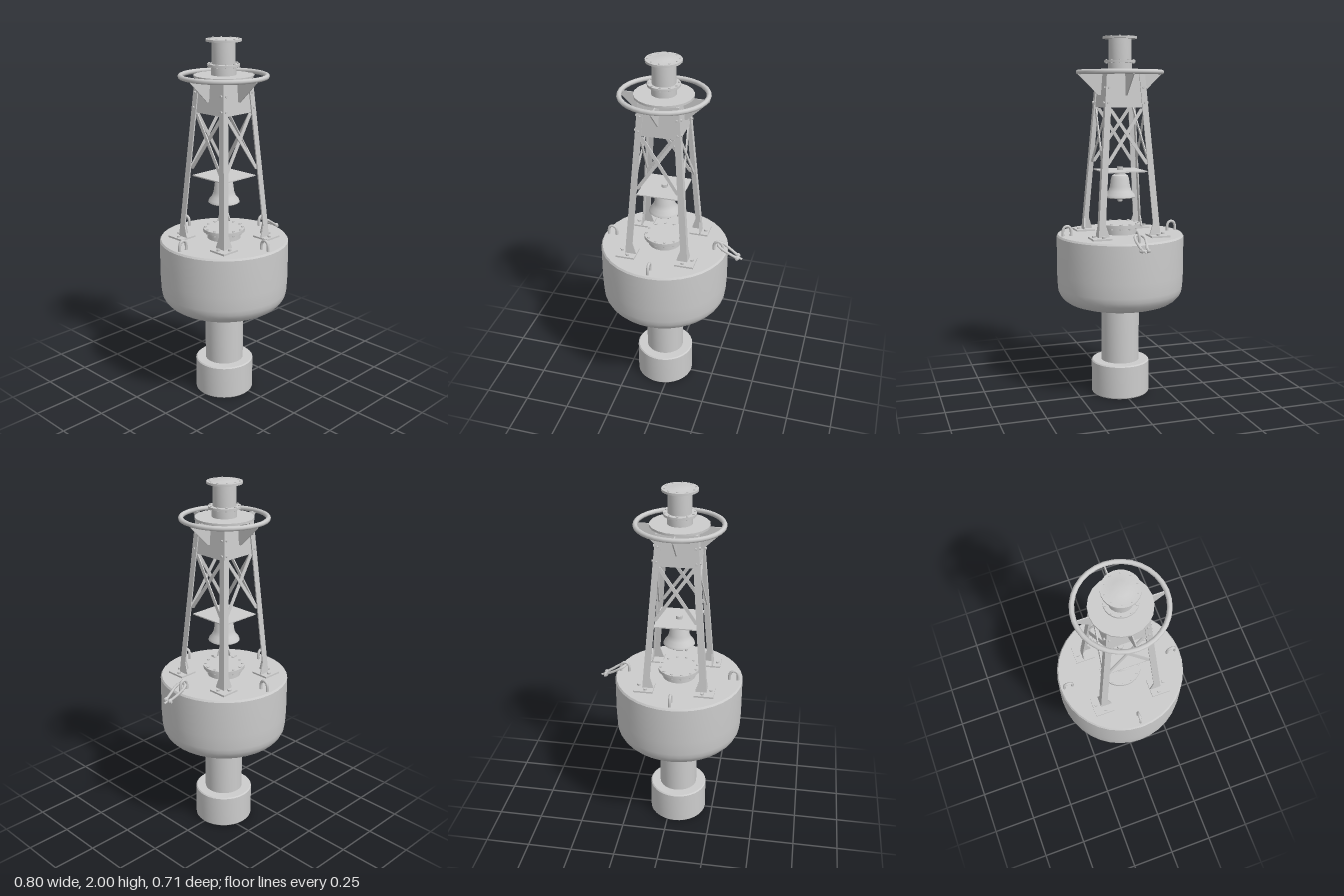
import * as THREE from 'three';
import { toCreasedNormals } from 'three/addons/utils/BufferGeometryUtils.js';

const metal = new THREE.MeshStandardMaterial({ color: 0xcccccc });
metal.name = 'paintedMetal';

function add(parent, name, geometry, x = 0, y = 0, z = 0) {
  const mesh = new THREE.Mesh(geometry, metal);
  mesh.name = name;
  mesh.position.set(x, y, z);
  parent.add(mesh);
  return mesh;
}

// Turned part from [radius, height] pairs, bottom to top
function turned(profile, segments = 32) {
  const pts = profile.map(([r, y]) => new THREE.Vector2(r, y));
  return toCreasedNormals(new THREE.LatheGeometry(pts, segments), 0.6);
}

// Flat plate cut from an outline, centred on z = 0
function plate(outline, depth) {
  const shape = new THREE.Shape(outline.map(([x, y]) => new THREE.Vector2(x, y)));
  const g = new THREE.ExtrudeGeometry(shape, { depth, bevelEnabled: false });
  return g.translate(0, 0, -depth / 2);
}

function tube(points, radius, segments = 16) {
  const path = new THREE.CatmullRomCurve3(points.map((p) => new THREE.Vector3(...p)));
  return new THREE.TubeGeometry(path, segments, radius, 8);
}

function boltCircle(parent, name, count, radius, y, size = 0.008, height = 0.01) {
  for (let i = 0; i < count; i++) {
    const a = ((i + 0.5) / count) * Math.PI * 2;
    add(parent, name, new THREE.CylinderGeometry(size, size, height, 6),
      Math.cos(a) * radius, y, Math.sin(a) * radius);
  }
}

// Half width of the tapering tower at a given height
const half = (y) => 0.176 - ((y - 0.92) * 0.069) / 0.88;

// Lean a flat outline onto the sloping tower face
function leaning(outline, depth, inset = 0) {
  const g = plate(outline, depth);
  const p = g.attributes.position;
  for (let i = 0; i < p.count; i++) p.setZ(i, p.getZ(i) + half(p.getY(i)) - depth / 2 - inset);
  g.computeVertexNormals();
  return g;
}

function towerFace() {
  const face = new THREE.Group();
  face.name = 'towerFace';
  for (const s of [-1, 1]) {
    // One flange of the corner angle iron, flared at the foot
    add(face, 'legFlange', leaning([
      [s * half(0.92), 0.92], [s * half(1.79), 1.79], [s * (half(1.79) - 0.032), 1.79],
      [s * (half(0.99) - 0.036), 0.99], [s * (half(0.93) - 0.06), 0.93], [s * (half(0.92) - 0.06), 0.92],
    ], 0.007));
    // Diagonal brace
    const a = [s * 0.113, 1.31], b = [-s * 0.092, 1.61];
    const w = 0.011;
    add(face, 'crossBrace', leaning([
      [a[0] - w, a[1]], [a[0] + w, a[1]], [b[0] + w, b[1]], [b[0] - w, b[1]],
    ], 0.006, s > 0 ? 0.007 : 0.013));
    // Bolts joining the panel to the legs
    for (const y of [1.64, 1.72]) {
      const bolt = add(face, 'panelBolt', new THREE.CylinderGeometry(0.007, 0.007, 0.016, 6),
        s * (half(y) - 0.016), y, half(y));
      bolt.rotation.x = Math.PI / 2;
    }
  }
  // Closed panel at the head of the tower
  add(face, 'headPanel', leaning([[-0.113, 1.615], [0.113, 1.615], [0.1, 1.8], [-0.1, 1.8]], 0.006, 0.007));
  // Triangular bracket under the guard ring
  const gusset = add(face, 'ringBracket',
    plate([[0.108, 1.68], [0.122, 1.68], [0.237, 1.79], [0.237, 1.8], [0.1, 1.8]], 0.006));
  gusset.rotation.y = -Math.PI / 2;
  return face;
}

export function createModel() {
  const model = new THREE.Group();
  model.name = 'bellBuoy';
  const body = new THREE.Group();
  body.name = 'buoyBody';
  body.position.x = -0.044;
  model.add(body);

  // Ballast, stem and lower mounting flange
  add(body, 'ballast', turned([[0, 0], [0.158, 0], [0.163, 0.006], [0.163, 0.184], [0.157, 0.19], [0, 0.19]]));
  add(body, 'stem', turned([[0.107, 0.185], [0.107, 0.52]]));
  add(body, 'lowerFlange', turned([[0.1, 0.507], [0.16, 0.507], [0.16, 0.522]]));
  boltCircle(body, 'lowerFlangeBolt', 10, 0.137, 0.504);

  // Rounded float
  const hull = [[0, 0.52], [0.235, 0.52]];
  for (let i = 1; i <= 6; i++) {
    const a = (i / 6) * Math.PI / 2;
    hull.push([0.235 + Math.sin(a) * 0.116, 0.62 - Math.cos(a) * 0.1]);
  }
  hull.push([0.355, 0.7], [0.355, 0.905], [0.348, 0.915], [0, 0.917]);
  add(body, 'float', turned(hull, 36));

  // Access hatch
  add(body, 'hatch', turned([
    [0.092, 0.91], [0.092, 0.955], [0.115, 0.955], [0.115, 0.973], [0, 0.973],
  ], 24));
  boltCircle(body, 'hatchBolt', 12, 0.102, 0.974);
  boltCircle(body, 'hatchNut', 12, 0.102, 0.951);

  // Tower sides, foot plates and lifting eyes, four times round
  for (let i = 0; i < 4; i++) {
    const side = new THREE.Group();
    side.name = 'towerSide';
    side.rotation.y = (i * Math.PI) / 2;
    body.add(side);
    side.add(towerFace());
    add(side, 'footPlate', new THREE.BoxGeometry(0.105, 0.01, 0.105), 0.165, 0.92, 0.165);
    for (const [x, z] of [[0.155, 0.198], [0.198, 0.155], [0.13, 0.198], [0.198, 0.13]]) {
      if (x + z > 0.34) add(side, 'footBolt', new THREE.CylinderGeometry(0.01, 0.01, 0.012, 6), x, 0.929, z);
    }
    add(side, 'liftingEye', tube([
      [0, 0.91, 0.283], [0, 0.945, 0.283], [0, 0.963, 0.291], [0, 0.969, 0.306],
      [0, 0.963, 0.321], [0, 0.945, 0.329], [0, 0.91, 0.329],
    ], 0.008));
  }

  // Platform and bell
  add(body, 'bellPlatform', new THREE.BoxGeometry(0.24, 0.006, 0.24), 0, 1.268, 0);
  add(body, 'bell', turned([
    [0, 1.15], [0.05, 1.122], [0.078, 1.116], [0.086, 1.122], [0.082, 1.135], [0.065, 1.155],
    [0.056, 1.18], [0.05, 1.225], [0.044, 1.24], [0.03, 1.247], [0.03, 1.268],
  ], 24));
  add(body, 'bellClapper', turned([[0, 1.092], [0.013, 1.096], [0.015, 1.108], [0.008, 1.12], [0.006, 1.15]], 12));
  add(body, 'bellBolt', new THREE.CylinderGeometry(0.018, 0.018, 0.02, 6), 0, 1.278, 0);

  // Tower head: deck, guard ring and lamp post
  add(body, 'headDeck', turned([[0, 1.798], [0.157, 1.798], [0.157, 1.81], [0, 1.81]], 20));
  const ring = add(body, 'guardRing', new THREE.TorusGeometry(0.228, 0.013, 8, 32), 0, 1.804, 0);
  ring.rotation.x = Math.PI / 2;
  add(body, 'lampPost', turned([
    [0.066, 1.81], [0.066, 1.855], [0.086, 1.855], [0.086, 1.867], [0.062, 1.867], [0.062, 1.982],
    [0.094, 1.982], [0.094, 1.994], [0.058, 1.994], [0.04, 1.998], [0, 2],
  ], 24));
  boltCircle(body, 'lampFlangeBolt', 10, 0.079, 1.992, 0.005, 0.012);
  boltCircle(body, 'collarBolt', 10, 0.077, 1.861, 0.006, 0.022);

  // Shackle hanging from the right-hand eye of the frame
  const shackle = new THREE.Group();
  shackle.name = 'shackle';
  body.add(shackle);
  add(shackle, 'shackleBow', tube([
    [0.412, 0.893, 0.016], [0.375, 0.915, 0.022], [0.338, 0.938, 0.026], [0.31, 0.952, 0.014],
    [0.305, 0.953, -0.008], [0.325, 0.945, -0.028], [0.365, 0.92, -0.026], [0.412, 0.893, -0.014],
  ], 0.0075, 24));
  for (const z of [-0.015, 0.016]) {
    add(shackle, 'shackleLug', new THREE.SphereGeometry(0.014, 10, 8), 0.416, 0.89, z).scale.z = 0.6;
  }
  const pin = add(shackle, 'shacklePin', new THREE.CylinderGeometry(0.007, 0.007, 0.056, 8), 0.418, 0.888, 0);
  pin.rotation.x = Math.PI / 2;
  add(shackle, 'shackleEnd', tube([[0.418, 0.888, 0], [0.43, 0.883, 0.001], [0.443, 0.879, 0.002]], 0.006, 4));

  return model;
}
